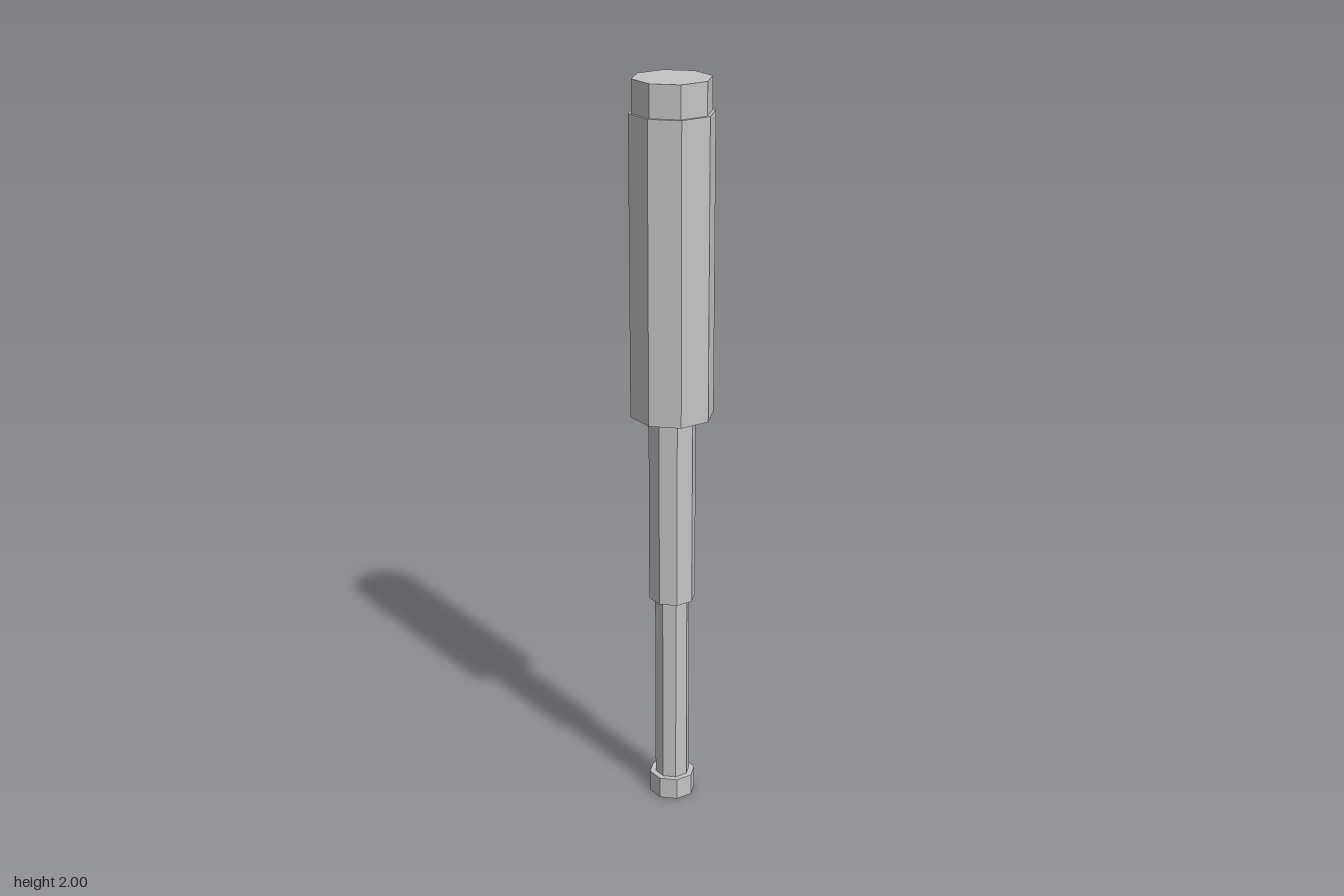
import * as THREE from 'three';

export function createModel() {
  const group = new THREE.Group();
  const grey = new THREE.MeshStandardMaterial({ color: 0xc4c4c4, flatShading: true });
  grey.name = 'light grey metal';

  // Stacked octagonal sections: name, radius, bottom, top
  const sections = [
    ['foot', 0.063, 0, 0.06],
    ['lowerRod', 0.047, 0.06, 0.595],
    ['middleTube', 0.063, 0.595, 1.12],
    ['upperSleeve', 0.111, 1.12, 1.915],
    ['topCap', 0.103, 1.915, 2],
  ];
  for (const [name, radius, bottom, top] of sections) {
    const mesh = new THREE.Mesh(new THREE.CylinderGeometry(radius, radius, top - bottom, 8), grey);
    mesh.position.y = (bottom + top) / 2;
    mesh.name = name;
    group.add(mesh);
  }
  return group;
}
